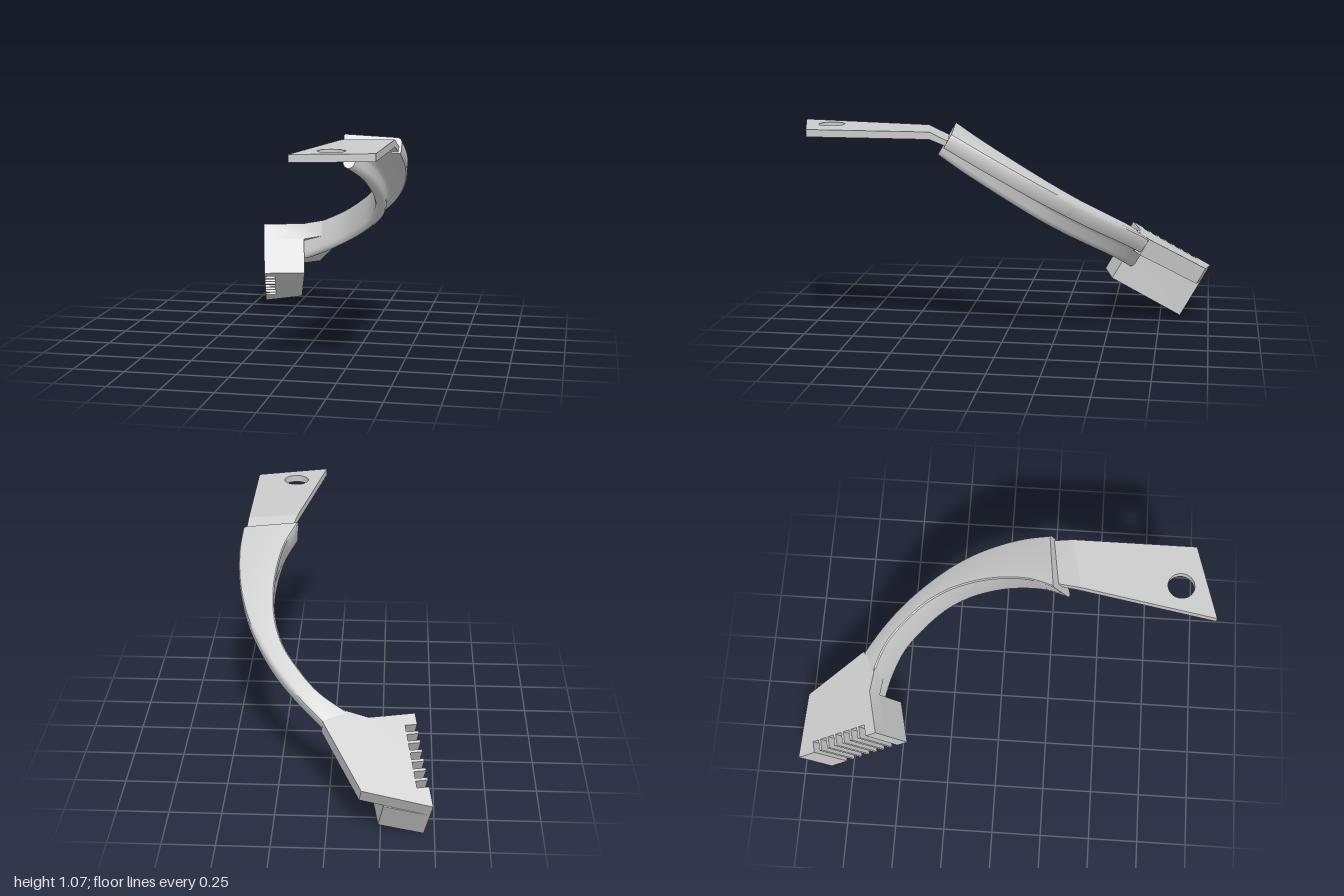
import * as THREE from 'three';
import { toCreasedNormals } from 'three/addons/utils/BufferGeometryUtils.js';
import { ConvexGeometry } from 'three/addons/geometries/ConvexGeometry.js';

const material = new THREE.MeshStandardMaterial({ color: 0xcccccc });

function addMesh(parent, name, geometry) {
  const mesh = new THREE.Mesh(geometry, material);
  mesh.name = name;
  parent.add(mesh);
  return mesh;
}

// Slab from an (x, z) outline, standing on y = bottom
function slab(outline, bottom, thickness, hole) {
  const shape = new THREE.Shape(outline.map(([x, z]) => new THREE.Vector2(x, -z)));
  if (hole) {
    const path = new THREE.Path();
    path.absarc(hole.x, -hole.z, hole.r, 0, Math.PI * 2, true);
    shape.holes.push(path);
  }
  const geo = new THREE.ExtrudeGeometry(shape, { depth: thickness, bevelEnabled: false, curveSegments: 24 });
  return toCreasedNormals(geo.rotateX(-Math.PI / 2).translate(0, bottom, 0), 0.5);
}

// Height of the gently bowed, tilted top surface of the arm
function topHeight(x, z) {
  const u = (z + 0.405) / 0.866;
  const v = 0.828 - 0.08 * (u - 0.46) ** 2 - 0.22 * Math.max(0, 0.08 - x);
  return 0.5 * u + 0.866 * v;
}

function edgeCurve(points) {
  const last = points.length - 1;
  return new THREE.CatmullRomCurve3(points.map(([x, z], i) =>
    new THREE.Vector3(x, topHeight(x, z) - (i === last ? 0.006 : 0), z)));
}

// L-shaped section: [distance from inner edge, depth below top], w = flange width
function armSection(w) {
  const t = Math.min(0.065, w * 0.55);
  return [
    [0.006, 0], [w - 0.02, 0], [w - 0.006, 0.006], [w, 0.02],
    [w, 0.07], [w - 0.006, 0.08], [t + 0.025, 0.08], [t + 0.008, 0.088], [t, 0.105],
    [t, 0.145], [t - 0.006, 0.162], [t - 0.02, 0.173],
    [0.03, 0.175], [0.016, 0.168], [0.008, 0.15], [0, 0.006],
  ];
}

function armGeometry() {
  const inner = edgeCurve([[0.19, 0.23], [0.245, 0.12], [0.275, 0], [0.285, -0.12], [0.27, -0.26],
    [0.225, -0.38], [0.15, -0.48], [0.05, -0.575], [-0.07, -0.63], [-0.19, -0.665]]);
  const outer = edgeCurve([[0.465, 0.2], [0.473, 0.08], [0.463, -0.05], [0.437, -0.17], [0.39, -0.29],
    [0.325, -0.4], [0.25, -0.5], [0.15, -0.6], [0.03, -0.695], [-0.05, -0.75]]);
  const down = new THREE.Vector3(0, -0.866, 0.5);
  const steps = 54, n = 16, positions = [], index = [];
  let firstSection;
  for (let i = 0; i <= steps; i++) {
    const a = inner.getPoint(i / steps);
    const across = outer.getPoint(i / steps).sub(a);
    const w = across.length();
    across.normalize();
    const section = armSection(w);
    firstSection ??= section;
    for (const [s, d] of section) {
      positions.push(...a.clone().addScaledVector(across, s).addScaledVector(down, d).toArray());
    }
    if (i === steps) continue;
    for (let j = 0; j < n; j++) {
      const p = i * n + j, q = i * n + (j + 1) % n;
      index.push(p, q, p + n, q, q + n, p + n);
    }
  }
  // Flat cap at the tab end
  const contour = firstSection.map(([s, d]) => new THREE.Vector2(s, d));
  for (const [a, b, c] of THREE.ShapeUtils.triangulateShape(contour, [])) {
    const positive = THREE.ShapeUtils.area([contour[a], contour[b], contour[c]]) > 0;
    index.push(...(positive ? [a, c, b] : [a, b, c]));
  }
  const geo = new THREE.BufferGeometry();
  geo.setAttribute('position', new THREE.Float32BufferAttribute(positions, 3));
  geo.setIndex(index);
  return toCreasedNormals(geo, 0.75);
}

export function createModel() {
  const model = new THREE.Group();
  model.name = 'bracketArm';

  // Flat mounting tab with a bolt hole
  addMesh(model, 'mountingTab', slab([[0.085, 1], [0.445, 0.9], [0.445, 0.31], [0.2, 0.36]],
    1.03, 0.035, { x: 0.24, z: 0.83, r: 0.063 }));

  // Short ramp joining the tab to the arm
  const ramp = [];
  for (const [x, z, top, bottom] of [[0.2, 0.36, 1.065, 1.03], [0.445, 0.31, 1.065, 1.03],
    [0.24, 0.22, 1.01, 0.985], [0.455, 0.19, 1.01, 0.985]]) {
    ramp.push(new THREE.Vector3(x, top, z), new THREE.Vector3(x, bottom, z));
  }
  addMesh(model, 'tabRamp', new ConvexGeometry(ramp));

  // Curved arm
  addMesh(model, 'curvedArm', armGeometry());

  // Tilted head: x across, y up, z along the grooved side
  const head = new THREE.Group();
  head.name = 'head';
  const along = new THREE.Vector3(0.178, 0.502, 0.847).normalize();
  const across = new THREE.Vector3(-0.12, 0.86, -0.49).cross(along).normalize();
  const up = along.clone().cross(across);
  const basis = new THREE.Matrix4().makeBasis(across, up, along);
  head.quaternion.setFromRotationMatrix(basis);
  head.position.set(-0.45, 0.005, -0.865);
  model.add(head);

  // Comb of seven slots cut into one side
  const comb = [[0, 0.478]];
  for (let i = 6; i >= 0; i--) {
    const z = 0.1 + i * 0.0475;
    comb.push([0, z + 0.034], [0.057, z + 0.034], [0.057, z], [0, z]);
  }
  comb.push([0, 0]);
  addMesh(head, 'gripBlock', slab([...comb, [0.205, 0.064], [0.218, 0.475]], 0, 0.195));
  addMesh(head, 'headPlate', slab([...comb, [0.31, 0.107], [0.433, 0.469], [0.33, 0.524], [0.218, 0.475]],
    0.195, 0.09));
  return model;
}
